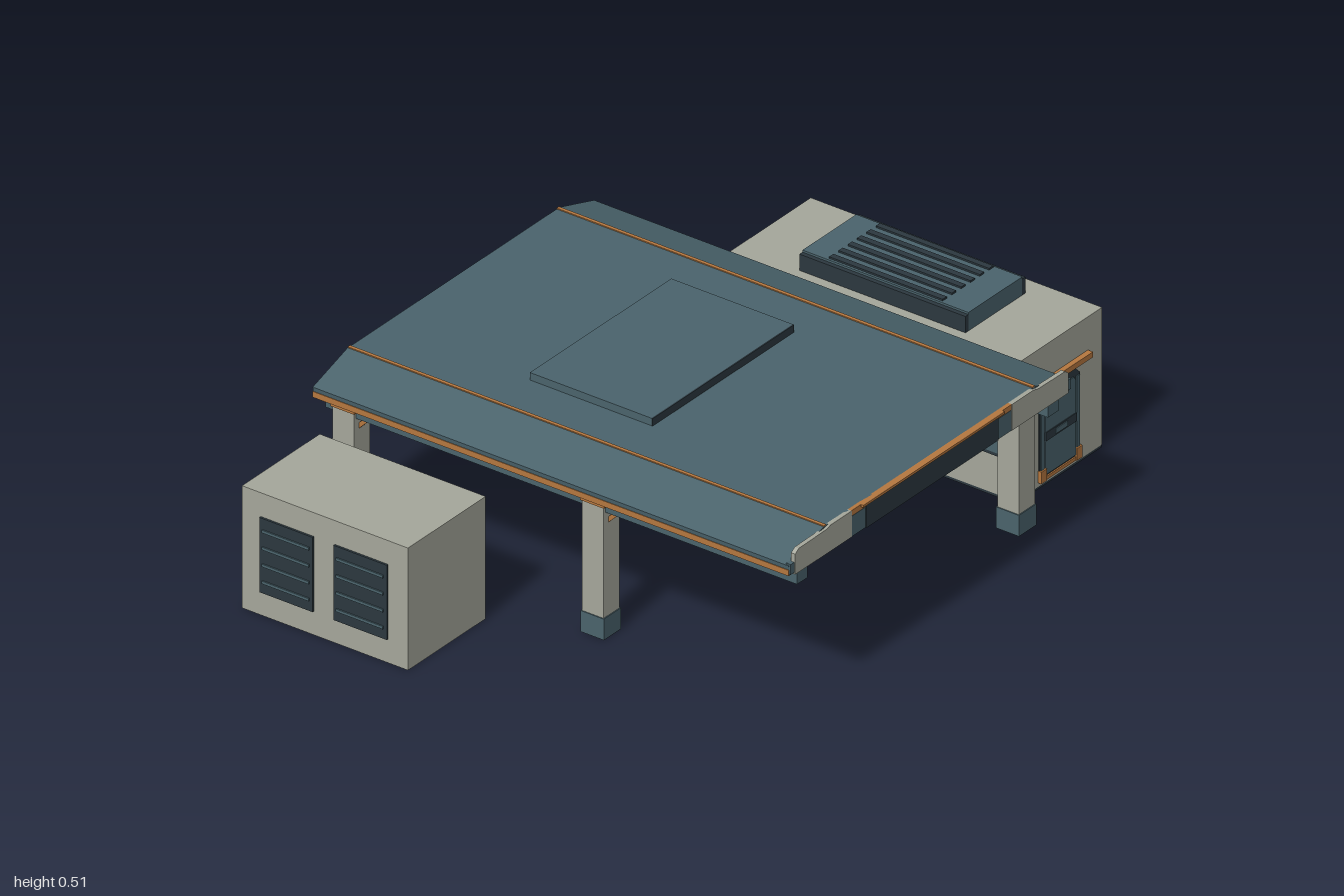
import * as THREE from 'three';

const mat = (name, color) => {
  const m = new THREE.MeshStandardMaterial({ color });
  m.name = name;
  return m;
};

export function createModel() {
  const light = mat('paleConcrete', 0xa5a79b);
  const teal = mat('slateTeal', 0x4a636c);
  const dark = mat('darkMetal', 0x2c383f);
  const orange = mat('copperTrim', 0xb5773f);
  const root = new THREE.Group();

  const group = (name, parent = root) => {
    const g = new THREE.Group();
    g.name = name;
    parent.add(g);
    return g;
  };
  // Box given by its min and max on each axis
  const box = (parent, name, m, x0, x1, y0, y1, z0, z1) => {
    const mesh = new THREE.Mesh(new THREE.BoxGeometry(x1 - x0, y1 - y0, z1 - z0), m);
    mesh.position.set((x0 + x1) / 2, (y0 + y1) / 2, (z0 + z1) / 2);
    mesh.name = name;
    parent.add(mesh);
    return mesh;
  };
  // Outline in x and y, extruded from z0 to z1
  const prism = (parent, name, m, pts, z0, z1) => {
    const shape = new THREE.Shape(pts.map(p => new THREE.Vector2(p[0], p[1])));
    const mesh = new THREE.Mesh(new THREE.ExtrudeGeometry(shape, { depth: z1 - z0, bevelEnabled: false }), m);
    mesh.position.z = z0;
    mesh.name = name;
    parent.add(mesh);
    return mesh;
  };

  // Canopy roof with sloping long sides
  const canopy = group('canopy');
  prism(canopy, 'roof', teal, [[-0.595, 0.43], [0.595, 0.43], [0.597, 0.445], [0.45, 0.492], [-0.45, 0.492], [-0.597, 0.445]], -0.77, 0.75);
  box(canopy, 'ceiling', light, -0.575, 0.575, 0.413, 0.43, -0.765, 0.745);
  box(canopy, 'roofPlate', teal, -0.3, 0.3, 0.49, 0.514, -0.3, 0.088);
  box(canopy, 'roofPlateFront', dark, -0.3, 0.3, 0.49, 0.514, 0.088, 0.092);
  for (const s of [-1, 1]) {
    const side = group(s < 0 ? 'rightCanopyEdge' : 'leftCanopyEdge', canopy);
    const span = (a, b) => (s > 0 ? [a, b] : [-b, -a]);
    box(side, 'eaveTrim', orange, ...span(0.575, 0.597), 0.415, 0.432, -0.77, 0.75);
    box(side, 'roofSeam', orange, ...span(0.438, 0.448), 0.488, 0.495, -0.77, 0.75);
    box(side, 'sideBeam', teal, ...span(0.51, 0.555), 0.37, 0.413, -0.76, 0.745);
    prism(side, 'fasciaPanel', light,
      [[0.34, 0.415], [0.58, 0.415], [0.58, 0.475], [0.565, 0.485], [0.45, 0.487], [0.43, 0.492], [0.34, 0.492]]
        .map(([x, y]) => [s * x, y]), 0.745, 0.758);
    box(side, 'fasciaEnd', teal, ...span(0.575, 0.595), 0.42, 0.45, 0.74, 0.755);
    box(side, 'fasciaBlock', teal, ...span(0.28, 0.34), 0.415, 0.475, 0.745, 0.757);
  }
  box(canopy, 'signPanel', dark, -0.28, 0.28, 0.415, 0.485, 0.745, 0.76);
  box(canopy, 'signTrim', orange, -0.34, 0.34, 0.476, 0.492, 0.745, 0.757);
  box(canopy, 'signTopTrim', orange, -0.3, 0.3, 0.485, 0.492, 0.755, 0.765);

  // Columns with base, capital and diagonal braces
  for (const [x, z, toward] of [[0.53, 0.628, -1], [0.53, -0.697, 1], [-0.53, -0.697, 1], [-0.53, 0.1, 1]]) {
    const col = group('column');
    col.position.set(x, 0, z);
    box(col, 'shaft', light, -0.034, 0.034, 0.05, 0.413, -0.034, 0.034);
    box(col, 'base', teal, -0.037, 0.037, 0, 0.062, -0.037, 0.037);
    box(col, 'capital', orange, -0.038, 0.038, 0.388, 0.408, -0.038, 0.038);
    box(col, 'capitalPlate', teal, -0.025, 0.025, 0.37, 0.413, -0.042, 0.042);
    const brace = box(col, 'brace', orange, -0.012, 0.012, -0.006, 0.006, -0.03, 0.03);
    brace.position.set(0, 0.36, toward * 0.05);
    brace.rotation.x = -toward * Math.PI / 4;
  }

  // Shop building
  const shop = group('shop');
  box(shop, 'shopFloor', dark, 0.621, 0.984, 0, 0.008, -0.369, 0.559);
  box(shop, 'shopWalls', light, 0.62, 0.985, 0.008, 0.412, -0.37, 0.56);

  // Street windows on the outer wall
  for (const [d0, d1, p0, p1] of [[0.265, 0.52, 0.285, 0.51], [-0.035, 0.222, -0.02, 0.205], [-0.325, -0.08, -0.312, -0.09]]) {
    const win = group('shopWindow', shop);
    const mid = (p0 + p1) / 2;
    box(win, 'windowBacking', dark, 0.98, 0.99, 0.05, 0.375, d0, d1);
    box(win, 'upperPanel', light, 0.985, 0.995, 0.308, 0.373, p0, p1);
    box(win, 'lowerPanel', light, 0.985, 0.995, 0.05, 0.162, p0, p1);
    box(win, 'mullion', light, 0.985, 0.994, 0.162, 0.285, mid - 0.004, mid + 0.004);
    box(win, 'upperRail', orange, 0.985, 1.0, 0.277, 0.288, p0, p1);
    box(win, 'lowerRail', orange, 0.985, 1.0, 0.17, 0.181, p0, p1);
    box(win, 'sill', dark, 0.985, 0.998, 0.162, 0.17, p0, p1);
  }

  // Display panels along the inner side
  for (const z of [-0.5, -0.155, 0.155, 0.49]) {
    const panel = group('sidePanel', shop);
    box(panel, 'panelFrame', dark, 0.606, 0.616, 0.13, 0.236, z - 0.092, z + 0.092);
    box(panel, 'outerScreen', teal, 0.604, 0.607, 0.14, 0.226, z - 0.082, z + 0.082);
    box(panel, 'innerScreen', teal, 0.615, 0.618, 0.13, 0.236, z - 0.092, z + 0.092);
  }

  // Door with frame, copper feet and awning
  const door = group('door', shop);
  prism(door, 'doorFrame', dark, [[0.715, 0.02], [0.885, 0.02], [0.885, 0.27], [0.868, 0.287], [0.732, 0.287], [0.715, 0.27]], 0.555, 0.564);
  prism(door, 'doorLeaf', teal, [[0.735, 0.035], [0.866, 0.035], [0.866, 0.255], [0.856, 0.268], [0.745, 0.268], [0.735, 0.255]], 0.56, 0.567);
  box(door, 'doorBar', dark, 0.735, 0.866, 0.135, 0.16, 0.56, 0.569);
  box(door, 'doorPlate', teal, 0.775, 0.826, 0.14, 0.155, 0.562, 0.571);
  for (const x of [0.725, 0.876]) {
    box(door, 'doorJamb', teal, x - 0.006, x + 0.006, 0.055, 0.265, 0.56, 0.567);
    box(door, 'doorFoot', orange, x - 0.012, x + 0.012, 0.02, 0.055, 0.555, 0.571);
  }
  box(door, 'threshold', orange, 0.725, 0.876, 0.02, 0.03, 0.555, 0.568);
  box(door, 'awning', orange, 0.67, 0.925, 0.298, 0.314, 0.555, 0.576);

  // Rooftop cooling unit
  const unit = group('rooftopUnit', shop);
  prism(unit, 'unitBody', teal, [[0.684, 0.412], [0.912, 0.412], [0.912, 0.466], [0.684, 0.466]], -0.17, 0.36);
  box(unit, 'unitSide', dark, 0.671, 0.685, 0.412, 0.46, -0.17, 0.36);
  box(unit, 'unitSide', dark, 0.911, 0.925, 0.412, 0.46, -0.17, 0.36);
  for (let i = 0; i < 6; i++) {
    const x = 0.7 + i * 0.0395;
    box(unit, 'ventSlat', dark, x - 0.009, x + 0.009, 0.46, 0.471, -0.09, 0.272);
  }

  // Storage cabinet with shelf bays
  const cabinet = group('cabinet');
  box(cabinet, 'cabinetBody', light, -0.99, -0.66, 0, 0.36, -0.7, -0.17);
  box(cabinet, 'innerPanel', dark, -0.663, -0.656, 0.05, 0.312, -0.652, -0.218);
  for (const z of [-0.555, -0.318]) {
    const bay = group('shelfBay', cabinet);
    box(bay, 'bayBacking', dark, -0.996, -0.985, 0.07, 0.29, z - 0.085, z + 0.085);
    for (let i = 0; i < 4; i++) {
      const y = 0.1 + i * 0.05;
      box(bay, 'shelf', teal, -1.0, -0.99, y, y + 0.008, z - 0.075, z + 0.075);
    }
  }

  // Small flight of steps descending toward the shop
  const pts = [[0.2, 0.008]];
  const n = 5;
  for (let i = 0; i < n; i++) {
    const y = 0.085 - i * 0.0165;
    pts.push([0.2 + i * 0.04, y], [0.24 + i * 0.04, y]);
  }
  pts.push([0.4, 0.008]);
  prism(root, 'steps', teal, pts.reverse(), 0.01, 0.07);

  return root;
}
